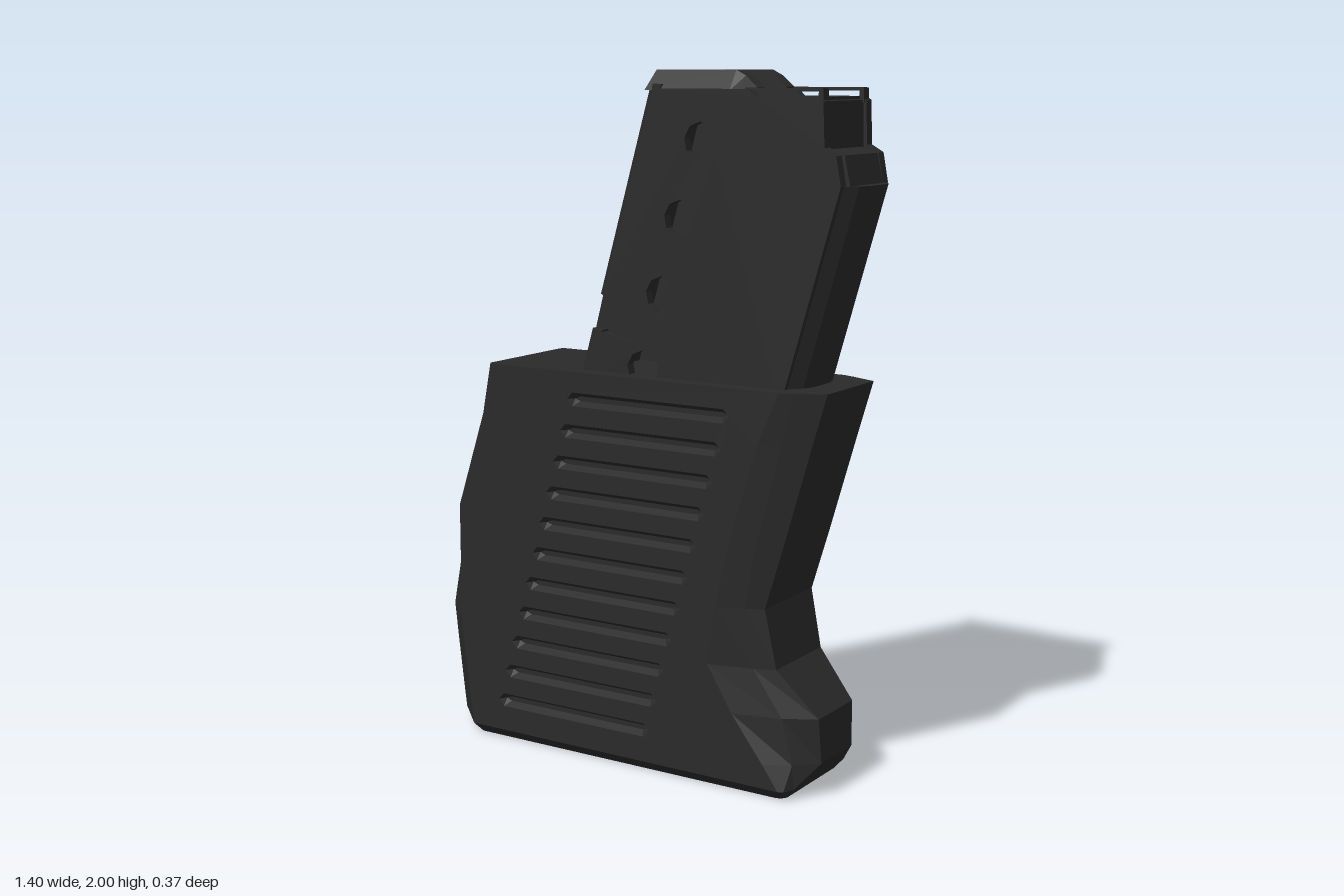
import * as THREE from 'three';

const W = 0.187;                                   // grip half thickness
const back = y => -0.18 + (y - 1.15) * 0.288;      // slanted rear line of the magazine
const front = y => 0.70 + (y - 1.70) * 0.29;       // slanted front line of the spine

const black = new THREE.MeshStandardMaterial({ color: 0x2a2a2a });
black.name = 'matte black';

function fromTriangles(tris) {
  const g = new THREE.BufferGeometry();
  g.setAttribute('position', new THREE.Float32BufferAttribute(tris.flat(2), 3));
  g.computeVertexNormals();
  return g;
}

// Skin matching convex cross-sections, close both ends, and face everything outward
function loft(sections, skip = () => false) {
  const tris = [], all = [], n = sections[0].length;
  for (let s = 0; s < sections.length - 1; s++) {
    for (let i = 0; i < n; i++) {
      const j = (i + 1) % n, a = sections[s], b = sections[s + 1];
      const pair = [[a[i], a[j], b[j]], [a[i], b[j], b[i]]];
      all.push(...pair);
      if (!skip(s, i)) tris.push(...pair);
    }
  }
  const first = sections[0], last = sections[sections.length - 1];
  for (let i = 1; i < n - 1; i++) {
    const caps = [[first[0], first[i + 1], first[i]], [last[0], last[i], last[i + 1]]];
    all.push(...caps);
    tris.push(...caps);
  }
  let volume = 0;
  const v = p => new THREE.Vector3(...p);
  for (const [a, b, c] of all) volume += v(a).dot(v(b).cross(v(c)));
  return fromTriangles(volume < 0 ? tris.map(([a, b, c]) => [a, c, b]) : tris);
}

// Mirror front to back, keeping faces outward
function mirrorZ(geometry) {
  const g = geometry.index ? geometry.toNonIndexed() : geometry.clone();
  const p = g.attributes.position, tris = [];
  const at = i => [p.getX(i), p.getY(i), -p.getZ(i)];
  for (let i = 0; i < p.count; i += 3) tris.push([at(i), at(i + 2), at(i + 1)]);
  return fromTriangles(tris);
}

const shapeOf = pts => new THREE.Shape(pts.map(p => new THREE.Vector2(...p)));

export function createModel() {
  const model = new THREE.Group();
  model.name = 'magazineWithGrip';
  const grip = new THREE.Group(), magazine = new THREE.Group();
  grip.name = 'grip';
  magazine.name = 'magazine';
  model.add(grip, magazine);
  const add = (parent, name, geometry) => {
    const m = new THREE.Mesh(geometry, black);
    m.name = name;
    parent.add(m);
  };
  const addPair = (parent, name, geometry) => {
    add(parent, name + 'Front', geometry);
    add(parent, name + 'Back', mirrorZ(geometry));
  };

  // Grip body: y, rear x, rear half width, rear bevel x, front bevel x, mid x, mid z, tip x, tip z
  const levels = [
    [1.15, -0.47, 0.175, -0.46, 0.51, 0.55, 0.172, 0.63, 0.135],
    [1.00, -0.505, 0.165, -0.49, 0.445, 0.51, 0.17, 0.585, 0.135],
    [0.71, -0.62, 0.09, -0.585, 0.355, 0.43, 0.165, 0.50, 0.135],
    [0.53, -0.665, 0.08, -0.585, 0.315, 0.395, 0.16, 0.445, 0.135],
    [0.36, -0.705, 0.07, -0.585, 0.29, 0.42, 0.155, 0.48, 0.13],
    [0.23, -0.69, 0.07, -0.572, 0.37, 0.51, 0.15, 0.60, 0.10],
    [0.10, -0.674, 0.07, -0.555, 0.47, 0.545, 0.15, 0.605, 0.09],
    [0.03, -0.665, 0.07, -0.545, 0.52, 0.535, 0.18, 0.55, 0.15],
  ];
  const ring = ([y, bx, bz, bi, fi, mx, mz, tx, tz], w = W) => {
    const half = [[bx, bz], [bi, w], [fi, w], [mx, mz], [tx, tz]];
    return [...half.map(([x, z]) => [x, y, z]), ...half.reverse().map(([x, z]) => [x, y, -z])];
  };
  const rings = levels.map(l => ring(l));
  rings.push(ring([0, -0.635, 0.06, -0.53, 0.50, 0.515, 0.155, 0.525, 0.14], 0.16));
  const panelRows = levels.length - 1;
  add(grip, 'gripBody', loft(rings, (s, i) => s < panelRows && (i === 1 || i === 7)));

  // Flat side panels, cut by eleven sunken grooves
  const panel = shapeOf([...levels.map(l => [l[3], l[0]]), ...levels.map(l => [l[4], l[0]]).reverse()]);
  for (let k = 0; k < 11; k++) {
    const y = 1.07 - k * 0.0945, x = -0.185 - k * 0.0262, L = 0.54;
    const outline = (e, h, z) => [
      [x + e, y, z], [x + 0.018 + e, y + h, z], [x + L - 0.018 - e, y + h, z],
      [x + L - e, y, z], [x + L - 0.018 - e, y - h, z], [x + 0.018 + e, y - h, z],
    ];
    const rim = outline(0, 0.02, W), floor = outline(0.014, 0.007, W - 0.022);
    panel.holes.push(new THREE.Path(rim.map(p => new THREE.Vector2(p[0], p[1]))));
    const tris = [];
    for (let i = 0; i < 6; i++) {
      const j = (i + 1) % 6;
      tris.push([rim[i], floor[j], rim[j]], [rim[i], floor[i], floor[j]]);
      if (i > 0 && i < 5) tris.push([floor[0], floor[i + 1], floor[i]]);
    }
    addPair(grip, 'groove' + (k + 1), fromTriangles(tris));
  }
  addPair(grip, 'sidePanel', new THREE.ShapeGeometry(panel).translate(0, 0, W));

  // Magazine side walls with round see-through holes; the front one has a catch notch
  const wall = notched => {
    const r = y => back(y) + 0.025;
    const notch = [[r(1.27), 1.27], [-0.02, 1.245], [0.02, 1.25], [0.03, 1.31], [0, 1.355], [r(1.37), 1.37]];
    const s = shapeOf([
      [r(1.1), 1.1], ...(notched ? notch : []), [r(1.95), 1.95], [0.38, 1.95], [0.40, 1.93],
      [0.59, 1.93], [0.605, 1.92], [0.61, 1.80], [0.645, 1.78], [0.66, 1.70], [0.485, 1.1],
    ]);
    for (const [x, y] of [[0.23, 1.81], [0.165, 1.597], [0.105, 1.383], [0.042, 1.17]]) {
      const hole = new THREE.Path();
      for (let i = 0; i < 9; i++) {
        const a = i / 9 * Math.PI * 2 + 0.2;
        const px = x + Math.cos(a) * 0.052, py = y + Math.sin(a) * 0.052;
        i ? hole.lineTo(px, py) : hole.moveTo(px, py);
      }
      hole.closePath();
      s.holes.push(hole);
    }
    return new THREE.ExtrudeGeometry(s, { depth: 0.03, bevelEnabled: false }).translate(0, 0, 0.107);
  };
  add(magazine, 'frontWall', wall(true));
  add(magazine, 'backWall', mirrorZ(wall(false)));
  add(magazine, 'catchRecess', new THREE.ExtrudeGeometry(
    shapeOf([[-0.15, 1.23], [0.04, 1.23], [0.04, 1.32], [0.01, 1.37], [-0.11, 1.38]]),
    { depth: 0.02, bevelEnabled: false }).translate(0, 0, 0.085));

  // Rear wall with bevelled corners, stepped in beside the notch
  for (const [y0, y1, zMax] of [[1.1, 1.27, 0.137], [1.27, 1.37, 0.1], [1.37, 1.962, 0.137]]) {
    const slice = y => [[0, zMax - 0.025], [0.025, zMax], [0.05, zMax], [0.05, -0.137], [0.025, -0.137], [0, -0.112]]
      .map(([dx, z]) => [back(y) + dx, y, z]);
    add(magazine, 'rearWall', loft([slice(y0), slice(y1)]));
  }

  // Folded feed lips and the thin rails ahead of them
  const lip = (x, top) => [[1.945, 0.137], [top, 0.10], [top, 0.06], [1.945, 0.06]].map(([y, z]) => [x, y, z]);
  const lipStart = lip(0.065, 2.0);
  lipStart[0][0] = lipStart[3][0] = back(1.945);
  addPair(magazine, 'feedLip', loft([lipStart, lip(0.32, 2.0), lip(0.35, 1.985), lip(0.385, 1.955)]));
  addPair(magazine, 'feedRail', new THREE.BoxGeometry(0.23, 0.009, 0.03).translate(0.48, 1.949, 0.115));
  addPair(magazine, 'railEnd', new THREE.BoxGeometry(0.014, 0.04, 0.03).translate(0.594, 1.933, 0.115));

  // Follower under the lips
  add(magazine, 'follower', new THREE.BoxGeometry(0.53, 0.05, 0.214).translate(0.325, 1.905, 0));

  // Nose plate, step and faceted front spine
  const bar = (name, pts, half) => add(magazine, name, new THREE.ExtrudeGeometry(
    shapeOf(pts), { depth: half * 2, bevelEnabled: false }).translate(0, 0, -half));
  bar('nosePlate', [[0.57, 1.76], [0.60, 1.76], [0.597, 1.92], [0.57, 1.93]], 0.107);
  bar('noseStep', [[0.56, 1.68], [0.67, 1.68], [0.648, 1.78], [0.60, 1.795], [0.57, 1.78]], 0.095);
  const spine = y => [[-0.09, 0.118], [-0.04, 0.118], [-0.012, 0.085], [0, 0.05],
    [0, -0.05], [-0.012, -0.085], [-0.04, -0.118], [-0.09, -0.118]].map(([dx, z]) => [front(y) + dx, y, z]);
  add(magazine, 'frontSpine', loft([spine(1.1), spine(1.70)]));

  return model;
}
